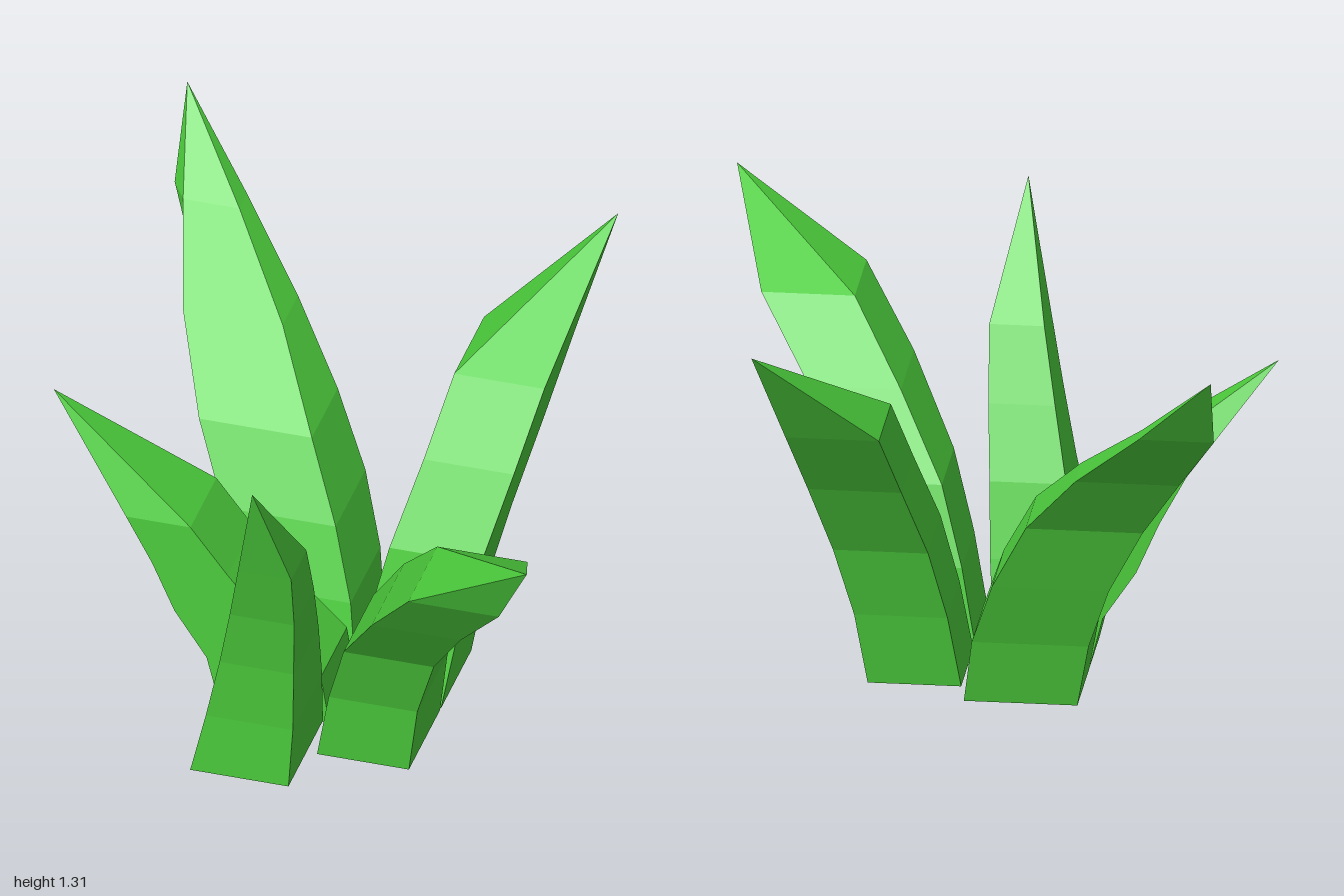
import * as THREE from 'three';

const green = new THREE.MeshStandardMaterial({ color: 0x4ccc3c, flatShading: true });

// A leaf is a stack of level four-sided rings closed by a pointed tip.
// Each ring: [y, xMin, xMax, zMin, zMax, skew of the inner left corner]
function makeLeaf(name, rings, tip) {
  const positions = [];
  const index = [];
  for (const [y, x0, x1, z0, z1, skew = 0] of rings) {
    positions.push(x0 + skew, y, z1, x1, y, z1, x1, y, z0, x0, y, z0);
  }
  positions.push(...tip);
  const tipIndex = rings.length * 4;

  // base
  index.push(0, 2, 1, 0, 3, 2);
  // sides and tip
  for (let r = 0; r < rings.length; r++) {
    for (let i = 0; i < 4; i++) {
      const a = r * 4 + i;
      const b = r * 4 + (i + 1) % 4;
      if (r < rings.length - 1) index.push(a, b, b + 4, a, b + 4, a + 4);
      else index.push(a, b, tipIndex);
    }
  }

  const indexed = new THREE.BufferGeometry();
  indexed.setAttribute('position', new THREE.Float32BufferAttribute(positions, 3));
  indexed.setIndex(index);
  const geometry = indexed.toNonIndexed();
  geometry.computeVertexNormals();
  const mesh = new THREE.Mesh(geometry, green);
  mesh.name = name;
  return mesh;
}

export function createModel() {
  const plant = new THREE.Group();
  plant.name = 'plant';

  // short leaf bending to the right side
  plant.add(makeLeaf('rightLeaf', [
    [0, -0.31, 0.03, 0.005, 0.275],
    [0.16, -0.35, 0.005, 0.005, 0.275],
    [0.31, -0.45, -0.15, 0.005, 0.275],
    [0.47, -0.52, -0.285, 0.005, 0.275],
    [0.62, -0.6, -0.4, 0.005, 0.275],
  ], [-0.86, 0.95, 0.155]));

  // upright leaf leaning forward
  plant.add(makeLeaf('frontLeaf', [
    [0, -0.295, 0.01, 0.275, 0.63],
    [0.21, -0.245, 0.025, 0.33, 0.635],
    [0.43, -0.195, 0.035, 0.4, 0.66],
    [0.64, -0.15, 0.05, 0.5, 0.705],
    [0.85, -0.105, 0.06, 0.61, 0.77],
  ], [-0.025, 1.22, 0.89]));

  // leaf bending to the front left corner
  plant.add(makeLeaf('frontLeftLeaf', [
    [0.005, 0.045, 0.33, 0.125, 0.45],
    [0.24, 0.09, 0.365, 0.165, 0.48],
    [0.47, 0.16, 0.44, 0.25, 0.56],
    [0.71, 0.3, 0.575, 0.4, 0.735],
    [0.93, 0.46, 0.74, 0.59, 0.89],
  ], [0.86, 1.18, 1]));

  // leaf bending to the back left corner
  plant.add(makeLeaf('backLeftLeaf', [
    [0.005, 0.05, 0.33, -0.2, 0.115],
    [0.24, 0.085, 0.365, -0.25, 0.06],
    [0.47, 0.135, 0.42, -0.32, 0],
    [0.71, 0.2, 0.48, -0.45, -0.14],
    [0.93, 0.25, 0.53, -0.6, -0.29],
  ], [0.61, 1.25, -0.79]));

  // tallest leaf, bending to the back right corner
  plant.add(makeLeaf('backRightLeaf', [
    [0, -0.31, 0.03, -0.305, 0],
    [0.21, -0.35, 0, -0.36, -0.05],
    [0.42, -0.42, -0.07, -0.44, -0.13],
    [0.64, -0.53, -0.18, -0.52, -0.25],
    [0.85, -0.655, -0.345, -0.66, -0.5],
    [1.06, -0.78, -0.555, -0.835, -0.755, 0.05],
  ], [-0.79, 1.31, -1]));

  return plant;
}
